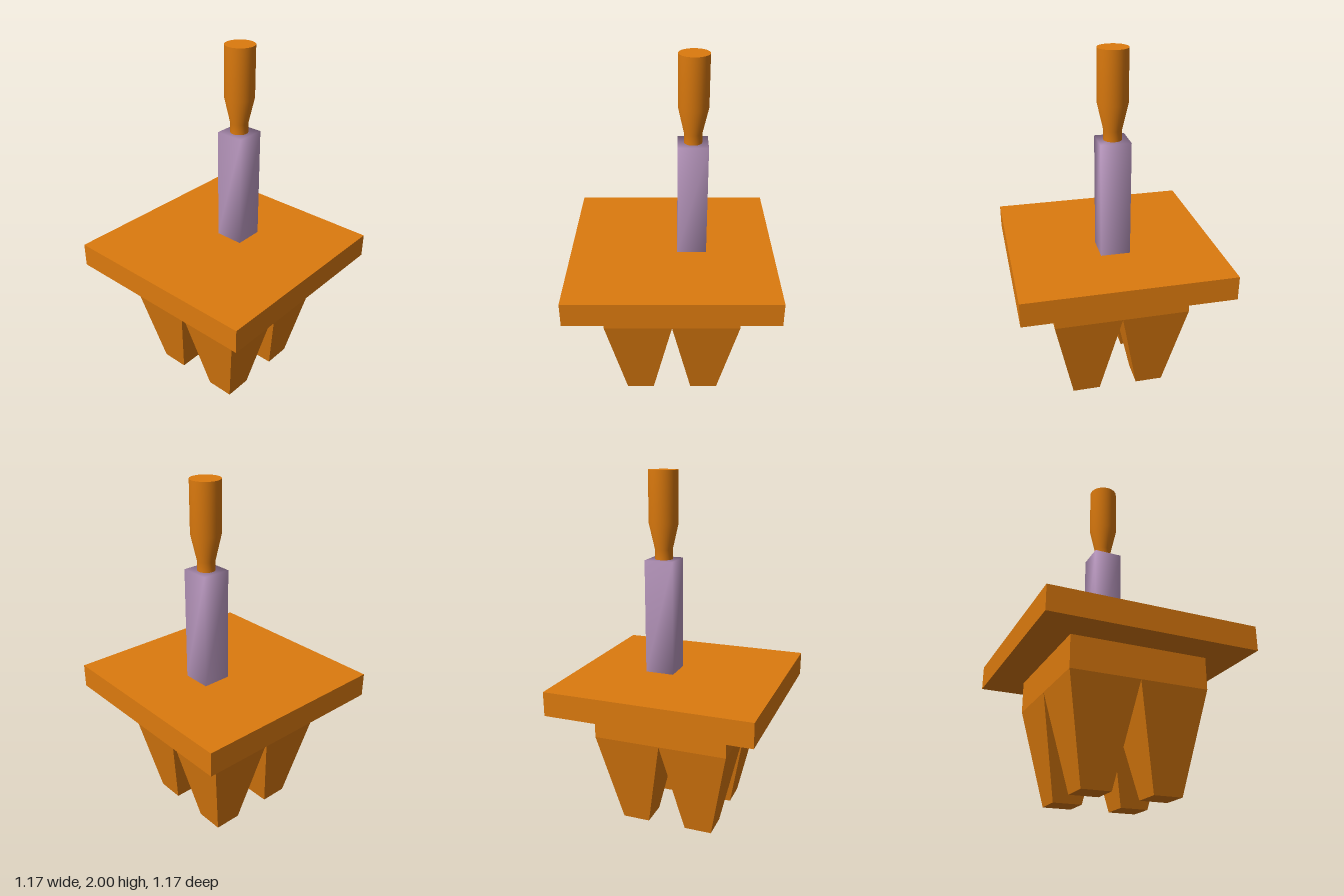
import * as THREE from 'three';
import { mergeVertices } from 'three/addons/utils/BufferGeometryUtils.js';

const orange = new THREE.MeshStandardMaterial({ color: 0xdc7a0e });
orange.name = 'orange';
const mauve = new THREE.MeshStandardMaterial({ color: 0xbe9cc4 });
mauve.name = 'mauve';

const POST_Z = -0.113;

// Box given by its size, bottom height and z position
function box(w, h, d, y, z = 0) {
  return new THREE.BoxGeometry(w, h, d).translate(0, y + h / 2, z);
}

// Square frustum with flat faces, standing on y = 0
function taperedLeg(topWidth, bottomWidth, height) {
  const geo = new THREE.CylinderGeometry(topWidth / Math.SQRT2, bottomWidth / Math.SQRT2, height, 4)
    .rotateY(Math.PI / 4)
    .translate(0, height / 2, 0)
    .toNonIndexed();
  geo.computeVertexNormals();
  return geo;
}

export function createModel() {
  const model = new THREE.Group();
  const add = (name, geometry, material, parent = model) => {
    const mesh = new THREE.Mesh(geometry, material);
    mesh.name = name;
    parent.add(mesh);
    return mesh;
  };

  // Four tapered legs meeting under the block
  const legGeo = taperedLeg(0.385, 0.16, 0.546);
  for (const [sx, side] of [[1, 'Left'], [-1, 'Right']]) {
    for (const [sz, end] of [[1, 'front'], [-1, 'back']]) {
      add(`${end}${side}Leg`, legGeo, orange).position.set(sx * 0.1925, 0, sz * 0.1925);
    }
  }

  // Block joining the legs, and the broad plate on top
  add('legBlock', box(0.77, 0.18, 0.77, 0.546), orange);
  add('plate', box(1.166, 0.138, 1.166, 0.725), orange);

  // Square post with normals shared across its edges
  const postGeo = box(0.166, 0.652, 0.166, 0.863, POST_Z);
  postGeo.deleteAttribute('normal');
  postGeo.deleteAttribute('uv');
  const smoothPost = mergeVertices(postGeo);
  smoothPost.computeVertexNormals();
  add('post', smoothPost, mauve);

  // Round handle: narrow neck flaring to a wide grip with a flat cap
  const handle = new THREE.Group();
  handle.name = 'handle';
  handle.position.z = POST_Z;
  model.add(handle);
  const profile = [[0.05, 1.51], [0.05, 1.57], [0.083, 1.715], [0.083, 2]]
    .map(([r, y]) => new THREE.Vector2(r, y));
  add('handleGrip', new THREE.LatheGeometry(profile, 40), orange, handle);
  const cap = new THREE.CircleGeometry(0.083, 40).rotateX(-Math.PI / 2).translate(0, 2, 0);
  add('handleCap', cap, orange, handle);

  return model;
}
